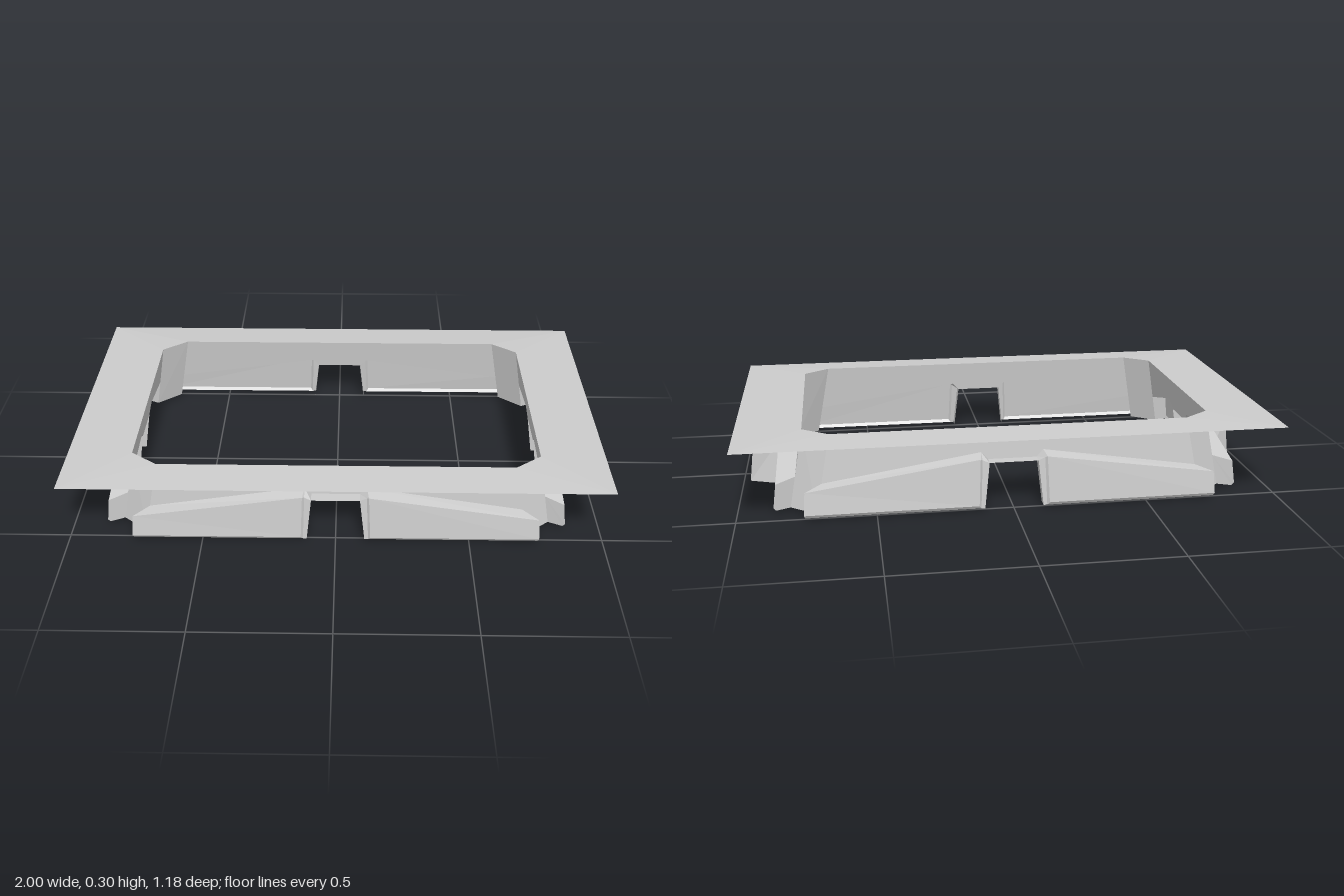
import * as THREE from 'three';

const material = new THREE.MeshStandardMaterial({ color: 0xcccccc, flatShading: true, side: THREE.DoubleSide });

// Thin sheet made of convex polygons, each a loop of [x, y, z] corners.
function sheet(name, polygons) {
  const pos = [];
  for (const p of polygons)
    for (let i = 1; i < p.length - 1; i++) pos.push(...p[0], ...p[i], ...p[i + 1]);
  const g = new THREE.BufferGeometry();
  g.setAttribute('position', new THREE.Float32BufferAttribute(pos, 3));
  g.computeVertexNormals();
  const mesh = new THREE.Mesh(g, material);
  mesh.name = name;
  return mesh;
}

// Adds the copy mirrored in x, with the corner order reversed.
const mirrored = (polys) =>
  polys.concat(polys.map((p) => p.map(([x, y, z]) => [-x, y, z]).reverse()));

const TOP = 0.3, BASE = 0.01;

// Sizes of one long and one short side, facing local +z.
const longSide = {
  topX: 0.66, topZ: 0.45, baseX: 0.715, baseZ: 0.48,
  cornerX: 0.76, panelTopZ: 0.508, panelBaseZ: 0.525, cornerY: 0.105,
  endTopX: 0.115, endBaseX: 0.122, endY: 0.195,
  gateTopX: 0.09, gateBaseX: 0.108, gateY: 0.18, gateTopZ: 0.505, gateBaseZ: 0.518, gateBase: 0.01,
};
const shortSide = {
  topX: 0.38, topZ: 0.757, baseX: 0.405, baseZ: 0.81,
  cornerX: 0.433, panelTopZ: 0.853, panelBaseZ: 0.87, cornerY: 0.11,
  endTopX: 0.115, endBaseX: 0.15, endY: 0.19,
  gateTopX: 0.08, gateBaseX: 0.08, gateY: 0.165, gateTopZ: 0.955, gateBaseZ: 0.975, gateBase: 0,
};

function buildSide(name, s) {
  const group = new THREE.Group();
  group.name = name;
  const t = (y) => (TOP - y) / (TOP - BASE);
  const wallZ = (y) => s.topZ + (s.baseZ - s.topZ) * t(y);
  const edgeX = (y) => s.topX + (s.baseX - s.topX) * t(y);
  const onWall = (x, y) => [x, y, wallZ(y)];

  // Points on the sloping wall
  const yC = s.cornerY + 0.015, yE = s.endY + 0.012;
  const wallCorner = onWall(edgeX(yC), yC), wallEnd = onWall(s.endTopX, yE);
  const wallGate = onWall(s.gateTopX, s.gateY);
  // Points on the raised panel
  const pc = [s.cornerX - 0.006, s.cornerY, s.panelTopZ + 0.006], pe = [s.endTopX + 0.008, s.endY, s.panelTopZ];
  const bc = [s.cornerX, 0.022, s.panelBaseZ], be = [s.endBaseX + 0.008, 0.022, s.panelBaseZ];
  const lc = [s.cornerX - 0.004, BASE, s.panelBaseZ - 0.008], le = [s.endBaseX, BASE, s.panelBaseZ - 0.008];
  const ie = [s.endTopX, s.endY - 0.005, s.panelTopZ - 0.008];
  // Points round the gate opening
  const gt = [s.gateTopX, s.gateY, s.gateTopZ], gb = [s.gateBaseX, s.gateBase, s.gateBaseZ];
  const gateFoot = [s.gateBaseX, s.gateBase, s.baseZ];

  group.add(sheet('upperWall', mirrored([
    [[0, TOP, s.topZ], onWall(0, s.gateY), wallGate, wallEnd],
    [[0, TOP, s.topZ], wallEnd, wallCorner, [s.topX, TOP, s.topZ]],
  ])));
  group.add(sheet('raisedPanel', mirrored([
    [pe, be, bc, pc],                                   // face
    [wallEnd, pe, pc, wallCorner],                      // sloping ledge
    [be, le, lc, bc],                                   // bottom lip
    [pc, bc, lc, onWall(s.baseX, BASE), wallCorner],    // corner end
    [pe, ie, le, be],                                   // bevel by the gate
  ])));
  group.add(sheet('gateFrame', mirrored([
    [ie, gt, gb, le],                                   // outer jamb
    [gt, wallGate, gateFoot, gb],                       // reveal
    [onWall(0, s.gateY), [0, s.gateY, s.gateTopZ], gt, wallGate], // lintel
    [wallGate, gt, ie, pe, wallEnd],                    // lintel shoulder
  ])));
  return group;
}

export function createModel() {
  const model = new THREE.Group();
  model.name = 'skirtedFrame';

  // Top rim: rectangle outside, octagonal opening inside, sloping gently outwards
  const L = longSide, S = shortSide, rimY = 0.29;
  const outA = [1, rimY, 0.592], outB = [1, rimY, -0.592];
  const inA = [L.topX, TOP, L.topZ], inB = [S.topZ, TOP, S.topX];
  const flip = ([x, y, z]) => [-x, y, z], back = ([x, y, z]) => [x, y, -z];
  const halfRim = [
    [flip(outA), outA, inA, flip(inA)],
    [outA, inB, inA],
    [outA, outB, back(inB), inB],
  ];
  const turned = halfRim.map((p) => p.map(([x, y, z]) => [-x, y, -z]));
  // The remaining pair of corner triangles
  const corner = [[outB, back(inA), back(inB)], [flip(outA), flip(inA), flip(inB)]];
  model.add(sheet('topRim', [...halfRim, ...turned, ...corner]));

  // Four sides
  ['front', 'right', 'back', 'left'].forEach((name, i) => {
    const side = buildSide(name + 'Side', i % 2 ? shortSide : longSide);
    side.rotation.y = (i * Math.PI) / 2;
    model.add(side);
  });

  // Chamfered corner posts
  for (const sx of [1, -1]) for (const sz of [1, -1]) {
    const p = [
      [L.topX, TOP, L.topZ], [L.baseX, BASE, L.baseZ],
      [S.baseZ, BASE, S.baseX], [S.topZ, TOP, S.topX],
    ].map(([x, y, z]) => [x * sx, y, z * sz]);
    model.add(sheet('cornerPost', [sx * sz > 0 ? p : p.reverse()]));
  }
  return model;
}
